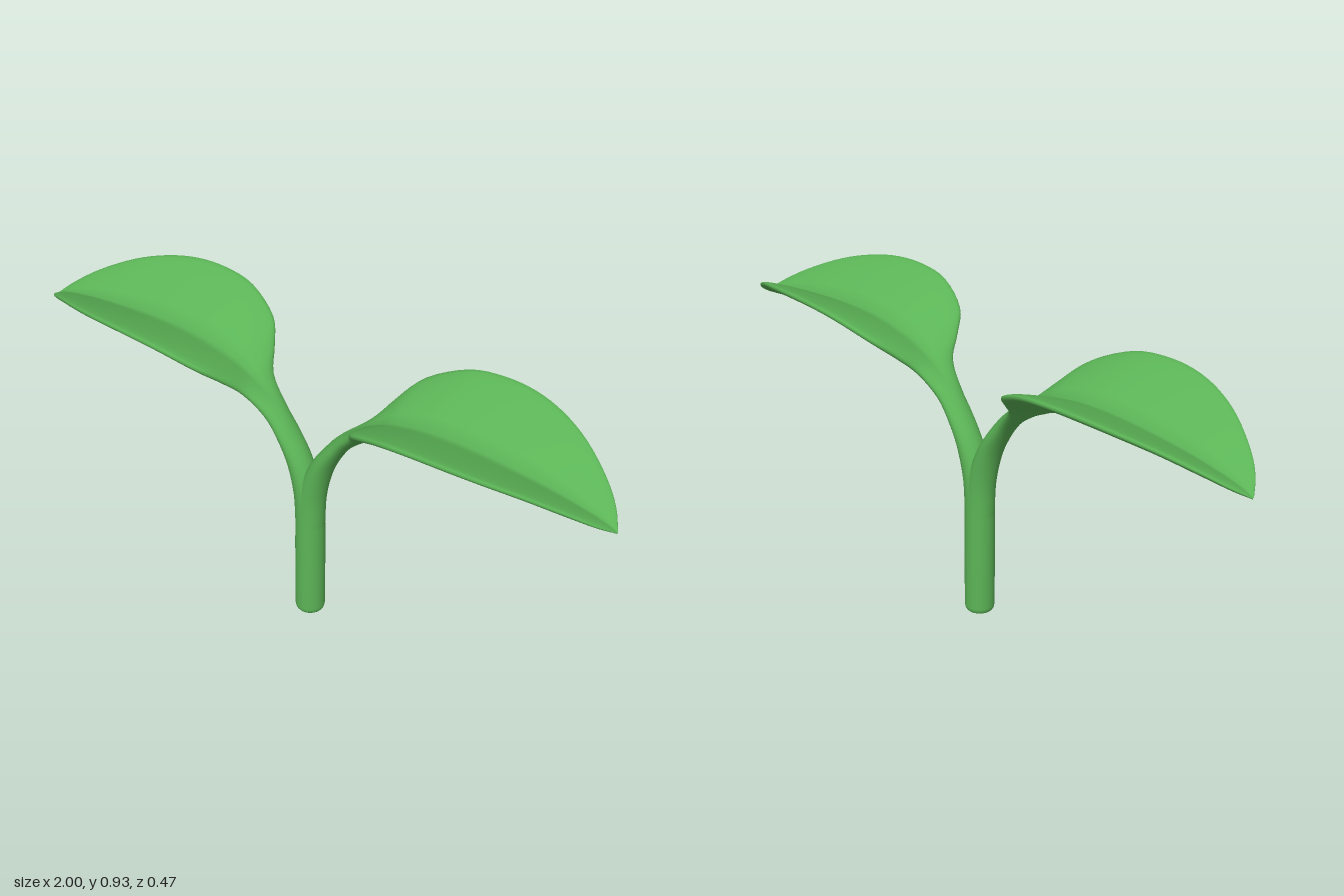
import * as THREE from 'three';

const leafGreen = new THREE.MeshStandardMaterial({ color: 0x5cb557 });
leafGreen.name = 'leafGreen';

// Stations from stem to leaf tip: x, y, heading in degrees, half width, fold height, thickness
const STATIONS = [
  [0, 0.33, 90, 0.045, 0, 0.09],
  [0.008, 0.44, 84, 0.044, 0, 0.086],
  [0.038, 0.54, 70, 0.043, 0, 0.07],
  [0.078, 0.615, 59, 0.043, 0, 0.056],
  [0.13, 0.685, 50, 0.045, 0, 0.048],
  [0.2, 0.74, 38, 0.07, 0.014, 0.044],
  [0.25, 0.768, 28, 0.125, 0.046, 0.044],
  [0.3, 0.79, 16, 0.183, 0.075, 0.044],
  [0.4, 0.812, 6, 0.225, 0.1, 0.042],
  [0.5, 0.82, 2, 0.235, 0.107, 0.04],
  [0.6, 0.818, -2, 0.228, 0.108, 0.04],
  [0.7, 0.812, -4, 0.203, 0.099, 0.037],
  [0.8, 0.803, -5, 0.16, 0.08, 0.033],
  [0.9, 0.788, -6, 0.1, 0.05, 0.028],
  [0.96, 0.777, -6, 0.052, 0.024, 0.02],
  [1, 0.767, -6, 0.002, 0.001, 0.005],
];

// Branch that flattens and folds into a V-shaped leaf, lofted from closed rings
function branchAndLeaf() {
  const spline = (a, b, c) => new THREE.CatmullRomCurve3(
    STATIONS.map((s) => new THREE.Vector3(s[a], s[b], s[c])), false, 'catmullrom', 0.5);
  const path = spline(0, 1, 2);
  const section = spline(3, 4, 5);
  const rows = (STATIONS.length - 1) * 4;
  const sides = 32;
  const positions = [];
  const index = [];
  for (let i = 0; i <= rows; i++) {
    const p = path.getPoint(i / rows);
    const { x: width, y: fold, z: thick } = section.getPoint(i / rows);
    const heading = THREE.MathUtils.degToRad(p.z);
    // blunt leaf rims, round branch
    const power = THREE.MathUtils.lerp(1, 0.7, Math.min(1, fold / 0.06));
    for (let j = 0; j < sides; j++) {
      const a = (j / sides) * Math.PI * 2;
      const u = Math.cos(a);
      const s = Math.sin(a);
      const rise = fold * Math.abs(u) + (thick / 2) * Math.sign(s) * Math.abs(s) ** power;
      positions.push(p.x - Math.sin(heading) * rise, p.y + Math.cos(heading) * rise, width * u);
      if (i < rows) {
        const k = (j + 1) % sides;
        const here = i * sides;
        const next = here + sides;
        index.push(here + j, next + j, here + k, next + j, next + k, here + k);
      }
    }
  }
  const geometry = new THREE.BufferGeometry();
  geometry.setAttribute('position', new THREE.Float32BufferAttribute(positions, 3));
  geometry.setIndex(index);
  geometry.computeVertexNormals();
  return geometry;
}

export function createModel() {
  const sprout = new THREE.Group();
  sprout.name = 'sprout';

  // Upright stem with a softly rounded foot
  const profile = [[0, 0], [0.034, 0], [0.04, 0.002], [0.044, 0.008], [0.046, 0.018], [0.046, 0.25], [0.045, 0.35]];
  const stem = new THREE.Mesh(
    new THREE.LatheGeometry(profile.map(([r, y]) => new THREE.Vector2(r, y)), 32), leafGreen);
  stem.name = 'stem';
  sprout.add(stem);

  // Two matching leaves, one turned half way round
  const geometry = branchAndLeaf();
  ['leftLeaf', 'rightLeaf'].forEach((name, i) => {
    const leaf = new THREE.Mesh(geometry, leafGreen);
    leaf.name = name;
    leaf.rotation.y = i * Math.PI;
    sprout.add(leaf);
  });

  return sprout;
}
